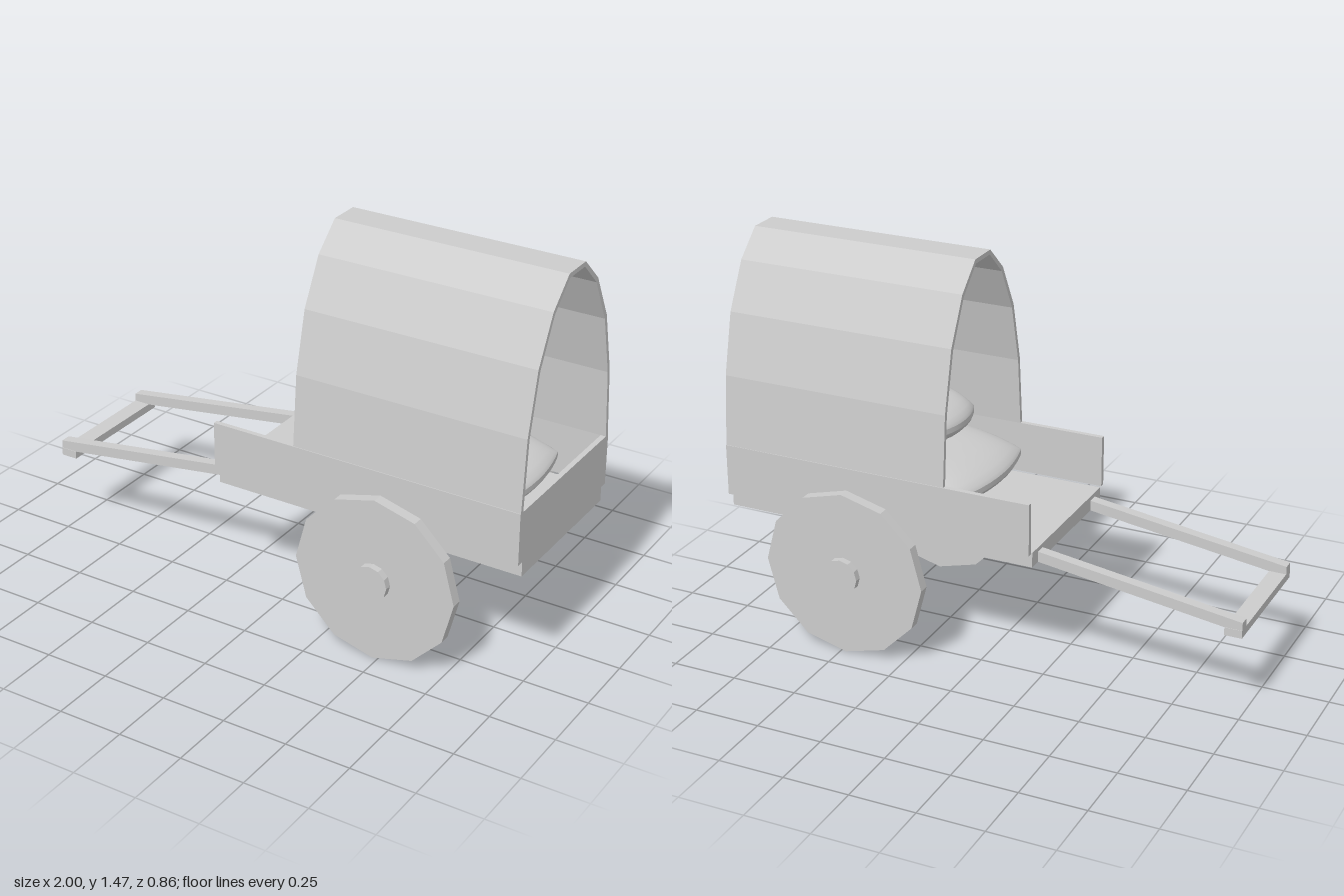
import * as THREE from 'three';

const grey = new THREE.MeshStandardMaterial({ color: 0xcccccc });
grey.name = 'plainGrey';

export function createModel() {
  const cart = new THREE.Group();
  cart.name = 'coveredCart';

  const add = (name, geometry) => {
    const mesh = new THREE.Mesh(geometry, grey);
    mesh.name = name;
    cart.add(mesh);
    return mesh;
  };

  // Box given by its lower and upper limits on each axis
  const box = (name, [x0, x1], [y0, y1], [z0, z1]) => {
    const g = new THREE.BoxGeometry(x1 - x0, y1 - y0, z1 - z0);
    g.translate((x0 + x1) / 2, (y0 + y1) / 2, (z0 + z1) / 2);
    return add(name, g);
  };

  // Faceted disc with its axis along z
  const disc = (name, radius, width, x, y, z) => {
    const g = new THREE.CylinderGeometry(radius, radius, width, 12).toNonIndexed();
    g.computeVertexNormals();
    g.rotateX(Math.PI / 2);
    g.translate(x, y, z);
    return add(name, g);
  };

  // Cart bed, open at the shaft end
  box('floor', [-0.23, 1], [0.455, 0.512], [-0.305, 0.305]);
  box('tailboard', [0.98, 1], [0.512, 0.71], [-0.316, 0.316]);

  for (const s of [1, -1]) {
    const side = s > 0 ? 'left' : 'right';
    box(side + 'SideBoard', [-0.23, 1], [0.512, 0.71], s > 0 ? [0.316, 0.335] : [-0.335, -0.316]);

    // Shaft slopes down from the bed to the crossbar
    const shaft = new THREE.Shape();
    shaft.moveTo(-1, 0.345);
    shaft.lineTo(-0.23, 0.455);
    shaft.lineTo(-0.23, 0.495);
    shaft.lineTo(-1, 0.385);
    const g = new THREE.ExtrudeGeometry(shaft, { depth: 0.04, bevelEnabled: false });
    g.translate(0, 0, s * 0.235 - 0.02);
    add(side + 'Shaft', g);

    // Solid wheel and hub
    disc(side + 'Wheel', 0.319, 0.042, 0.48, 0.32, s * 0.384);
    disc(side + 'Hub', 0.068, 0.095, 0.48, 0.32, s * 0.384);
  }
  box('crossbar', [-1, -0.935], [0.325, 0.355], [-0.257, 0.257]);

  // Faceted arched canopy with a hollow inside
  const outer = [[0.332, 0.71], [0.31, 0.978], [0.255, 1.207], [0.165, 1.378], [0.06, 1.475]];
  const inner = [[0.316, 0.71], [0.295, 0.972], [0.241, 1.197], [0.154, 1.365], [0.055, 1.458]];
  const arch = (half) => [...half, ...half.map(([z, y]) => [-z, y]).reverse()];
  const section = [...arch(outer), ...arch(inner).reverse()];
  const canopy = new THREE.ExtrudeGeometry(
    new THREE.Shape(section.map(([z, y]) => new THREE.Vector2(z, y))),
    { depth: 0.895, bevelEnabled: false }
  );
  canopy.rotateY(Math.PI / 2);
  canopy.translate(0.105, 0, 0);
  add('canopy', canopy);

  // Stuffed sack: a box puffed up in the middle, with bulging edges and a thin seam
  const sack = (name, { halfX, halfZ, height, bulgeX, bulgeZ, y, turn }) => {
    const g = new THREE.BoxGeometry(2, 2, 2, 16, 1, 16);
    const p = g.attributes.position;
    const ease = (t) => Math.sin((t * Math.PI) / 2);
    for (let i = 0; i < p.count; i++) {
      const u = ease(p.getX(i));
      const v = ease(p.getZ(i));
      const puff = Math.pow(Math.max(0, 1 - u * u), 0.6) * Math.pow(Math.max(0, 1 - v ** 4), 0.42);
      p.setXYZ(
        i,
        u * (halfX + bulgeX * (1 - v * v)),
        Math.sign(p.getY(i)) * (0.01 + (height - 0.01) * puff),
        v * (halfZ + bulgeZ * (1 - u * u))
      );
    }
    g.computeVertexNormals();
    const mesh = add(name, g);
    mesh.position.set(0.46, y, 0);
    mesh.rotation.y = turn;
  };
  sack('lowerSack', { halfX: 0.375, halfZ: 0.27, height: 0.104, bulgeX: 0.05, bulgeZ: 0.025, y: 0.628, turn: -0.06 });
  sack('upperSack', { halfX: 0.25, halfZ: 0.135, height: 0.1, bulgeX: 0.03, bulgeZ: 0.048, y: 0.82, turn: 0 });

  return cart;
}
